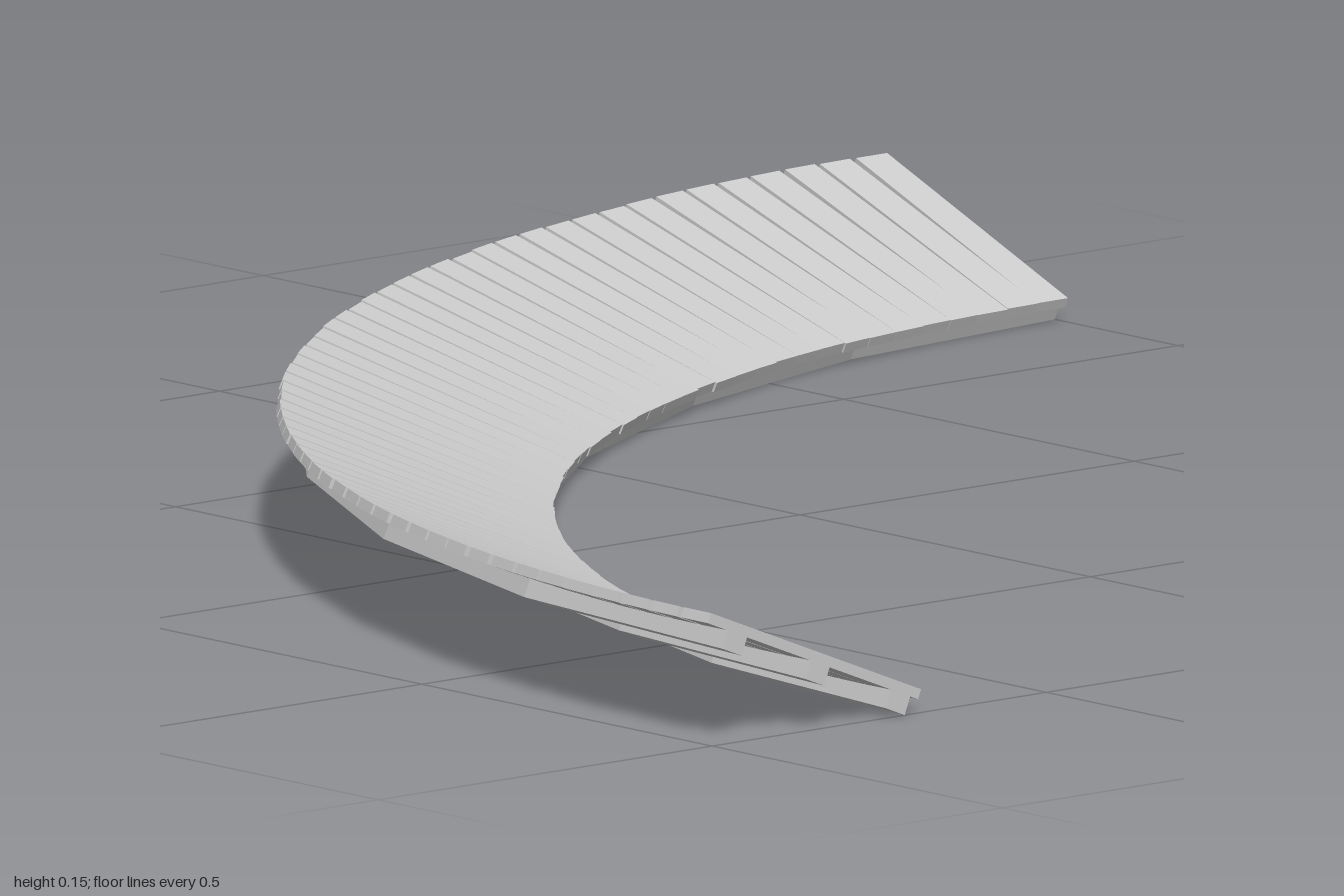
import * as THREE from 'three';

const SLOPE = Math.atan2(0.125, 0.31);   // banking of the deck
const INNER = 1.688, INNER_Y = 0.027;    // inner top edge of the deck: radius and height
const CENTRE = 1;                        // the curve turns about x = z = 1
const PLANKS = 57, LENGTH = 0.334, THICK = 0.012;

// Point on the banked cross-section: s runs up the slope, d goes down into the deck
function section(s, d) {
  const c = Math.cos(SLOPE), n = Math.sin(SLOPE);
  return new THREE.Vector2(INNER + s * c + d * n, INNER_Y + s * n - d * c);
}

function seeded(seed) {
  return () => {
    seed = (seed * 16807) % 2147483647;
    return seed / 2147483647 - 0.5;
  };
}

export function createModel() {
  const model = new THREE.Group();
  model.name = 'curvedBoardwalk';
  const grey = new THREE.MeshStandardMaterial({ color: 0xcccccc, flatShading: true, side: THREE.DoubleSide });
  const random = seeded(17);

  // Deck planks fanned around the quarter circle, laid slightly unevenly
  const deck = new THREE.Group();
  deck.name = 'deck';
  const step = Math.PI / 2 / PLANKS;
  for (let i = 0; i < PLANKS; i++) {
    const phi = Math.PI + (i + 0.5) * step;
    const isEnd = i === 0 || i === PLANKS - 1;
    const length = LENGTH + random() * 0.006;
    const plank = new THREE.Mesh(new THREE.BoxGeometry(length, THICK, 0.047), grey);
    const p = section(LENGTH / 2, THICK / 2);
    plank.name = 'plank';
    plank.position.set(CENTRE + p.x * Math.sin(phi), p.y, CENTRE + p.x * Math.cos(phi));
    plank.rotation.order = 'YZX';
    plank.rotation.set(0, phi - Math.PI / 2 + (isEnd ? 0 : random() * 0.012), SLOPE);
    deck.add(plank);
  }
  model.add(deck);

  // Three faceted support beams under the deck, with closed ends
  ['innerBeam', 'middleBeam', 'outerBeam'].forEach((name, i) => {
    const s = [0.012, 0.142, 0.275][i], width = 0.03, bottom = THICK + 0.022;
    const corners = [
      section(s, bottom), section(s + width, bottom),
      section(s + width, THICK), section(s, THICK),
    ];
    const beam = new THREE.Group();
    beam.name = name;
    beam.position.set(CENTRE, 0, CENTRE);
    beam.add(new THREE.Mesh(
      new THREE.LatheGeometry([...corners, corners[0]], 8, Math.PI, Math.PI / 2), grey));
    for (const phi of [Math.PI, Math.PI * 1.5]) {
      const cap = new THREE.Mesh(new THREE.ShapeGeometry(new THREE.Shape(corners)), grey);
      cap.name = 'beamEnd';
      cap.rotation.y = phi - Math.PI / 2;
      beam.add(cap);
    }
    beam.children[0].name = 'beamBody';
    model.add(beam);
  });

  return model;
}
